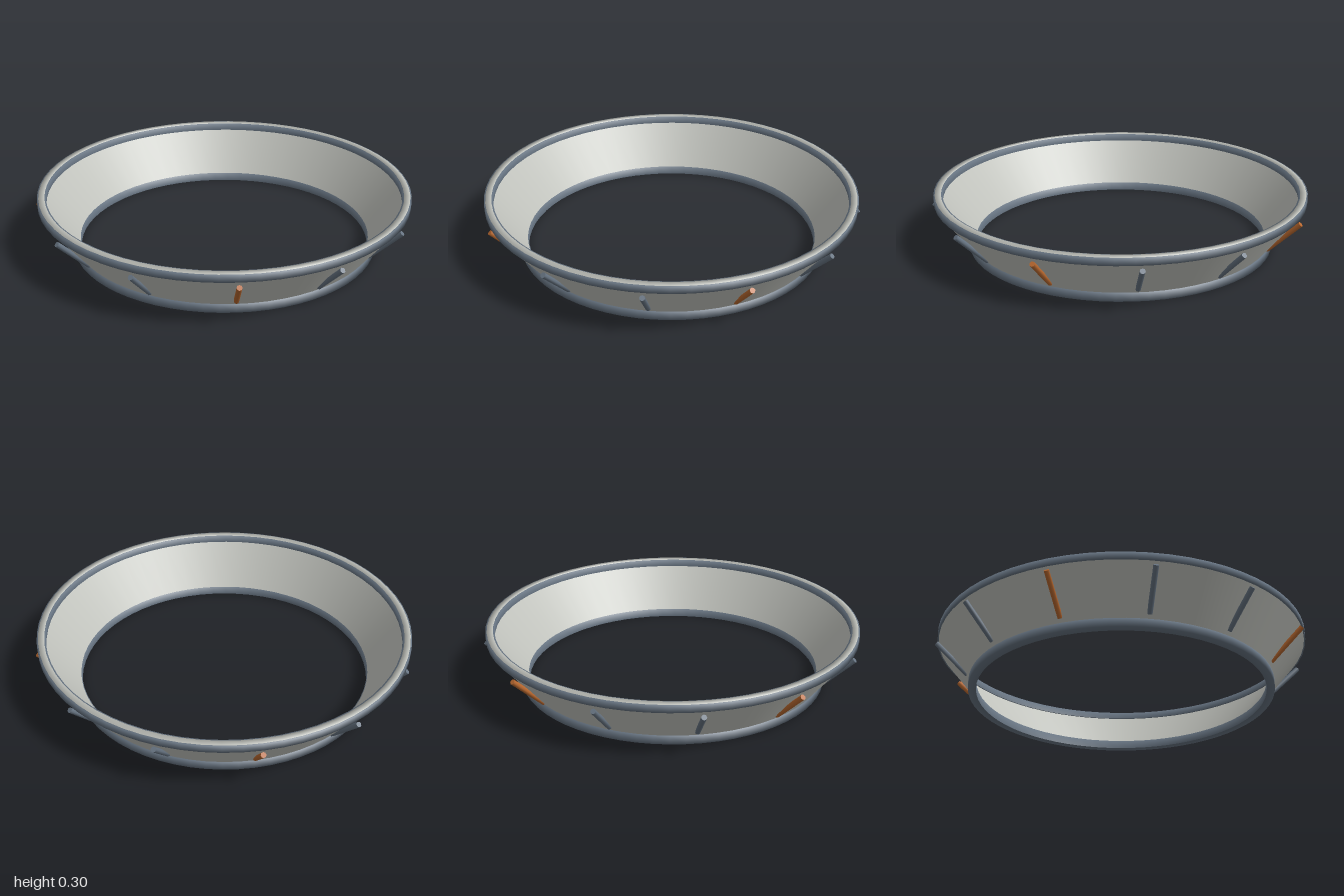
import * as THREE from 'three';

const SEGMENTS = 64;

const paint = (name, color) => {
  const m = new THREE.MeshStandardMaterial({ color });
  m.name = name;
  return m;
};

// Closed counter-clockwise [radius, height] outline turned around the y axis
function turned(name, outline, material) {
  const points = [...outline, outline[0]].map(([r, y]) => new THREE.Vector2(r, y));
  const mesh = new THREE.Mesh(new THREE.LatheGeometry(points, SEGMENTS), material);
  mesh.name = name;
  return mesh;
}

const band = (name, inner, outer, bottom, top, material) =>
  turned(name, [[inner, bottom], [outer, bottom], [outer, top], [inner, top]], material);

export function createModel() {
  const shellGrey = paint('shell grey', 0xc2c4be);
  const steelBlue = paint('steel blue', 0x667381);
  const copper = paint('copper orange', 0xb8682f);

  const model = new THREE.Group();
  model.name = 'flaredRing';

  // Flared wall with a short upright lip at each end
  model.add(turned('flaredShell', [
    [0.772, 0.003], [0.802, 0.003], [0.805, 0.045], [0.978, 0.26],
    [0.978, 0.3], [0.946, 0.3], [0.944, 0.26], [0.772, 0.045],
  ], shellGrey));

  // Bands clasping the two lips
  model.add(band('bottomBand', 0.768, 0.81, 0, 0.045, steelBlue));
  model.add(band('topBand', 0.938, 0.985, 0.26, 0.298, steelBlue));

  // Twelve ribs along the slope, every third one copper
  const low = new THREE.Vector2(0.817, 0.068);
  const high = new THREE.Vector2(0.987, 0.234);
  const slope = high.clone().sub(low);
  const ribGeometry = new THREE.CylinderGeometry(0.014, 0.014, slope.length(), 8);
  ribGeometry.rotateZ(-Math.atan2(slope.x, slope.y));
  ribGeometry.translate((low.x + high.x) / 2, (low.y + high.y) / 2, 0);
  for (let i = 0; i < 12; i++) {
    const accent = i % 3 === 0;
    const rib = new THREE.Mesh(ribGeometry, accent ? copper : steelBlue);
    rib.name = accent ? 'accentRib' : 'rib';
    rib.rotation.y = (i * Math.PI) / 6;
    model.add(rib);
  }

  return model;
}
